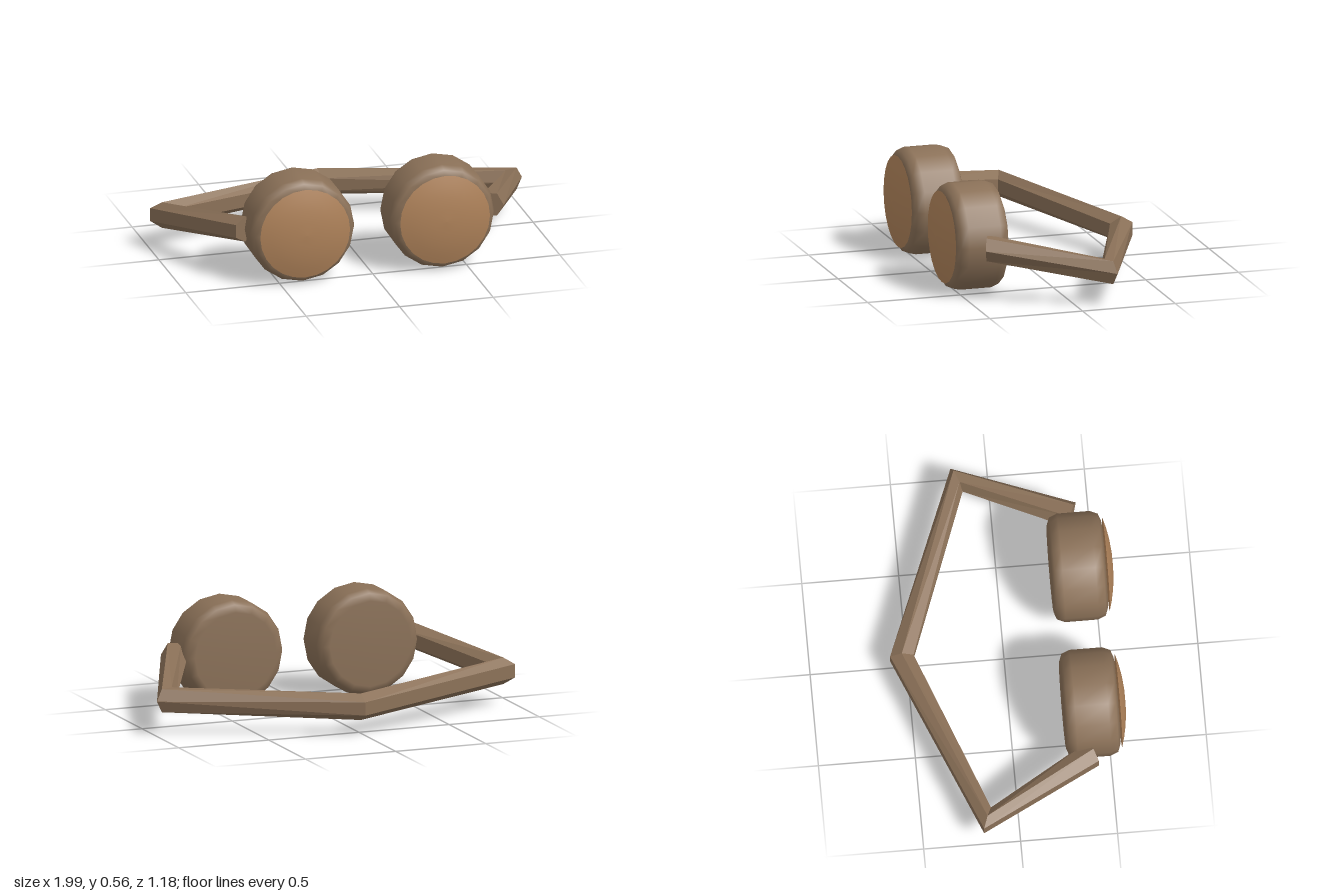
import * as THREE from 'three';

const leather = new THREE.MeshStandardMaterial({ color: 0x8b7158 });
leather.name = 'brown leather';
const amber = new THREE.MeshStandardMaterial({ color: 0xb0835a, side: THREE.DoubleSide });
amber.name = 'amber lens';
const strapBrown = leather.clone();
strapBrown.name = 'brown strap';
strapBrown.flatShading = true;

// Turns a [radius, z] profile around the z axis
function turned(profile, sides, material, name) {
  const geometry = new THREE.LatheGeometry(profile.map(([r, z]) => new THREE.Vector2(r, z)), sides);
  geometry.rotateX(Math.PI / 2);
  const mesh = new THREE.Mesh(geometry, material);
  mesh.name = name;
  return mesh;
}

// One eyepiece: rounded cup with a shallow domed lens floating just before it
function eyepiece(name, x) {
  const group = new THREE.Group();
  group.name = name;
  group.add(turned([
    [0, 0.27], [0.225, 0.27], [0.263, 0.284], [0.28, 0.325],
    [0.28, 0.495], [0.263, 0.536], [0.225, 0.55], [0, 0.55],
  ], 16, leather, 'cup'));
  group.add(turned([
    [0.24, 0.558], [0.19, 0.572], [0.13, 0.584], [0.065, 0.591], [0, 0.593],
  ], 24, amber, 'lens'));
  group.position.set(x, 0.28, 0);
  return group;
}

// Six-sided strap lofted through five stations, twisting towards the left side
function strap() {
  const sides = 6, radius = 0.07;
  // centre, horizontal outward direction, twist in degrees
  const stations = [
    { c: [-0.655, 0.28, 0.405], out: [-0.92, 0.39], twist: 30 },
    { c: [-0.937, 0.18, -0.165], out: [-0.93, -0.37], twist: 30 },
    { c: [0, 0.14, -0.527], out: [0, -1], twist: 30 },
    { c: [0.93, 0.18, -0.165], out: [0.93, -0.37], twist: 60 },
    { c: [0.655, 0.28, 0.405], out: [0.92, 0.39], twist: 60 },
  ];
  const positions = [], index = [];
  for (const { c, out, twist } of stations) {
    for (let k = 0; k < sides; k++) {
      const a = THREE.MathUtils.degToRad(twist + k * 60);
      const r = radius * Math.cos(a);
      positions.push(c[0] + out[0] * r, c[1] + radius * Math.sin(a), c[2] + out[1] * r);
    }
  }
  const last = (stations.length - 1) * sides;
  for (let i = 0; i < last; i += sides) {
    for (let k = 0; k < sides; k++) {
      const a = i + k, b = i + (k + 1) % sides;
      index.push(a, b, a + sides, b, b + sides, a + sides);
    }
  }
  // End caps
  for (let k = 1; k < sides - 1; k++) {
    index.push(0, k + 1, k, last, last + k, last + k + 1);
  }
  const indexed = new THREE.BufferGeometry();
  indexed.setAttribute('position', new THREE.Float32BufferAttribute(positions, 3));
  indexed.setIndex(index);
  const geometry = indexed.toNonIndexed();
  geometry.computeVertexNormals();
  const mesh = new THREE.Mesh(geometry, strapBrown);
  mesh.name = 'headStrap';
  return mesh;
}

export function createModel() {
  const model = new THREE.Group();
  model.name = 'goggles';
  model.add(eyepiece('leftEyepiece', 0.37), eyepiece('rightEyepiece', -0.378), strap());
  return model;
}
